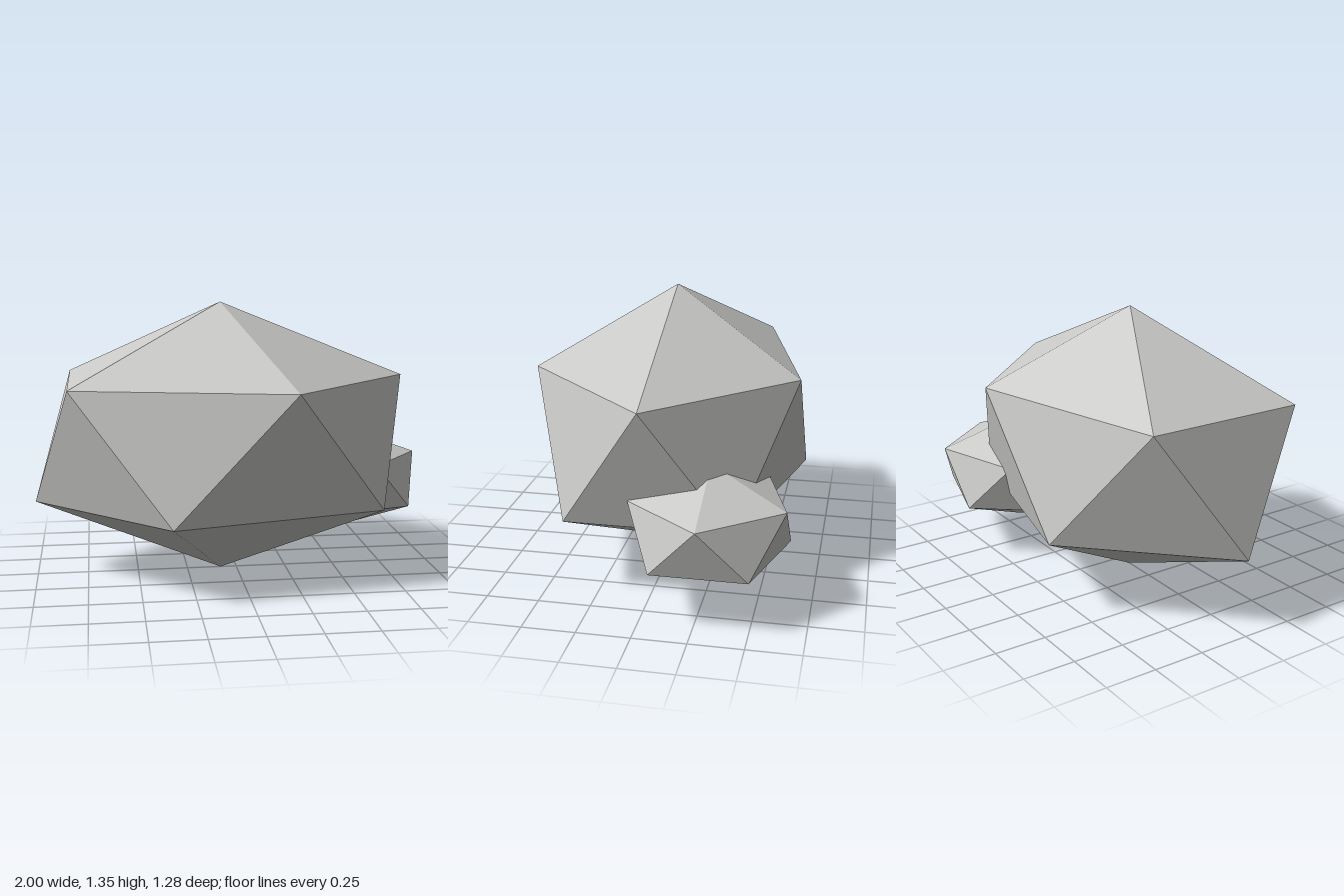
import * as THREE from 'three';

export function createModel() {
  const group = new THREE.Group();
  group.name = 'rocks';

  const stone = new THREE.MeshStandardMaterial({ color: 0xc8c9c6, flatShading: true });
  stone.name = 'stone grey';

  // Icosahedron turned to stand on one vertex, then stretched per axis
  const tilt = -Math.atan(2 / (1 + Math.sqrt(5)));
  function addRock(name, radii, centre) {
    const geometry = new THREE.IcosahedronGeometry(1, 0);
    geometry.rotateZ(tilt);
    geometry.scale(...radii);
    geometry.computeVertexNormals();
    const rock = new THREE.Mesh(geometry, stone);
    rock.name = name;
    rock.position.set(...centre);
    group.add(rock);
  }

  addRock('largeRock', [1.029, 0.675, 0.752], [-0.08, 0.675, 0]);
  addRock('smallRock', [0.47, 0.28, 0.421], [0.58, 0.396, -0.28]);

  return group;
}
